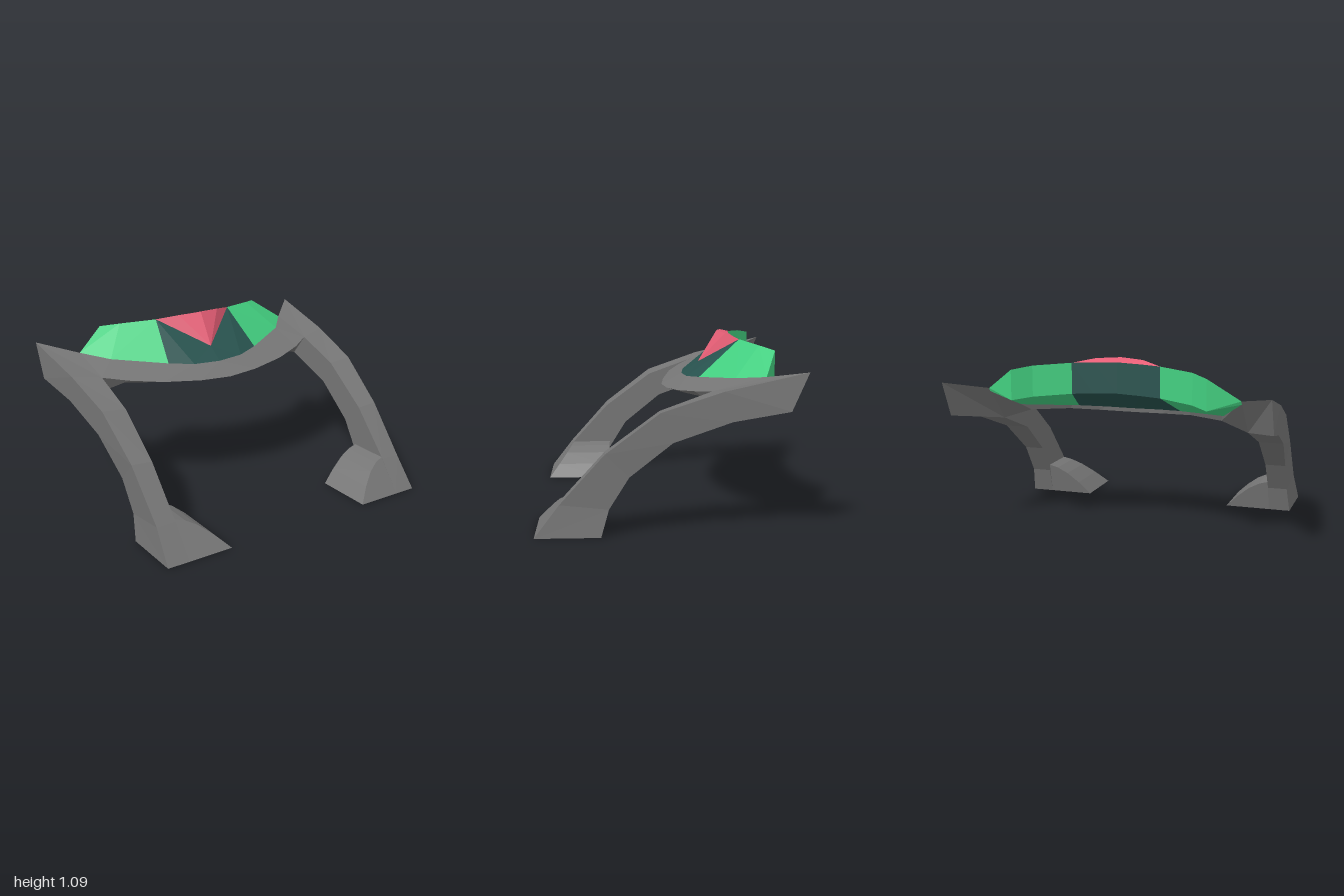
import * as THREE from 'three';

const paint = (name, color) =>
  new THREE.MeshStandardMaterial({ name, color, flatShading: true, side: THREE.DoubleSide });

// Splits a polygon into a fan of triangles
const fan = (...p) => p.slice(2).flatMap((_, i) => [p[0], p[i + 1], p[i + 2]]);

// Joins successive cross-sections with quads
function loft(sections, closed = false) {
  const out = [];
  const n = sections[0].length;
  for (let i = 0; i < sections.length - 1; i++) {
    for (let j = 0; j < (closed ? n : n - 1); j++) {
      const k = (j + 1) % n;
      out.push(...fan(sections[i][k], sections[i][j], sections[i + 1][j], sections[i + 1][k]));
    }
  }
  return out;
}

const mirror = (pts) => pts.map(([x, y, z]) => [-x, y, z]).reverse();

function facets(name, material, pts) {
  const geometry = new THREE.BufferGeometry();
  geometry.setAttribute('position', new THREE.Float32BufferAttribute(pts.flat(), 3));
  geometry.computeVertexNormals();
  const mesh = new THREE.Mesh(geometry, material);
  mesh.name = name;
  return mesh;
}

export function createModel() {
  const group = new THREE.Group();
  const grey = paint('frame grey', 0x757575);
  const green = paint('panel green', 0x43cf80);
  const teal = paint('dark teal', 0x28524e);
  const red = paint('rose red', 0xe85f77);
  const both = (name, material, pts) =>
    group.add(facets(name, material, [...pts, ...mirror(pts)]));

  // Curved legs: outer front, inner front, inner back, outer back
  const legs = [
    [[0.93, 0, 0.765], [0.79, 0, 0.765], [0.79, 0, 0.385], [0.93, 0, 0.385]],
    [[0.915, 0.19, 0.62], [0.79, 0.19, 0.615], [0.79, 0.16, 0.34], [0.915, 0.16, 0.34]],
    [[0.925, 0.48, 0.36], [0.79, 0.47, 0.36], [0.79, 0.345, 0.225], [0.92, 0.345, 0.225]],
    [[0.945, 0.715, 0.05], [0.79, 0.7, 0.05], [0.79, 0.545, -0.02], [0.945, 0.545, -0.02]],
    [[0.97, 0.835, -0.3], [0.79, 0.81, -0.25], [0.79, 0.67, -0.36], [0.97, 0.665, -0.35]],
    [[1, 0.943, -0.765], [0.79, 0.89, -0.56], [0.79, 0.67, -0.36], [1, 0.725, -0.67]],
  ];
  const tail = legs[5];
  both('leg', grey, [...loft(legs, true), ...fan(tail[0], tail[3], tail[2], tail[1])]);

  // Flared inner side of each foot
  const footCurve = [[0.5, 0], [0.58, 0.08], [0.66, 0.145], [0.73, 0.183], [0.79, 0.2]];
  both('foot', grey, loft(footCurve.map(([x, y]) => [
    [x, 0, 0.765], [x, y, 0.765 - 0.8 * y], [x, y, 0.385 - 0.22 * y], [x, 0, 0.385],
  ])));

  // Hollowed sole
  const sole = [[0.93, 0, 0.765], [0.5, 0, 0.765], [0.5, 0, 0.385], [0.93, 0, 0.385]];
  const hollow = [0.82, 0.094, 0.505];
  both('sole', grey, sole.flatMap((p, i) => [p, hollow, sole[(i + 1) % 4]]).reverse());

  // Brow bar: front edge, top edge, bottom edge
  both('browBar', grey, loft([
    [[0, 0.74, 0], [0, 0.81, -0.13], [0, 0.707, -0.11]],
    [[0.21, 0.747, -0.022], [0.18, 0.815, -0.15], [0.2, 0.713, -0.135]],
    [[0.45, 0.767, -0.075], [0.335, 0.83, -0.215], [0.4, 0.725, -0.2]],
    [[0.65, 0.79, -0.16], [0.65, 0.865, -0.4], [0.62, 0.725, -0.32]],
    [[0.79, 0.81, -0.25], [0.79, 0.89, -0.56], [0.79, 0.67, -0.36]],
  ], true));

  // Crest sections: lower edge, top edge, rear lower edge, underside edge
  const crest = [
    [[0, 0.81, -0.13], [0, 1.065, -0.435], [0, 0.875, -0.435], [0, 0.735, -0.13]],
    [[0.18, 0.815, -0.15], [0.15, 1.06, -0.445], [0.15, 0.87, -0.445], [0.18, 0.74, -0.15]],
    [[0.335, 0.83, -0.215], [0.28, 1.055, -0.465], [0.28, 0.865, -0.465], [0.335, 0.75, -0.215]],
    [[0.65, 0.865, -0.4], [0.5, 1.04, -0.555], [0.5, 0.85, -0.555], [0.65, 0.77, -0.4]],
    [[0.79, 0.89, -0.56], [0.605, 1.02, -0.635], [0.605, 0.835, -0.635], [0.79, 0.87, -0.55]],
  ];
  const end = crest[4];
  both('sidePanel', green, [...loft(crest.slice(2)), ...fan(end[2], end[1], end[0], end[3])]);

  // Dark centre panel with a V-shaped upper edge
  const notch = [0, 0.885, -0.235];
  const [b0, b1, b2] = crest.map((s) => s[0]);
  const [t0, t1, t2] = crest.map((s) => s[1]);
  both('centrePanel', teal, [
    ...loft(crest.slice(0, 3).map((s) => s.slice(1))),
    t2, b1, b2, t2, notch, b1, notch, b0, b1,
  ]);

  // Raised wedge filling the V
  const r0 = [0, 1.087, -0.355];
  const r1 = [0.15, 1.08, -0.392];
  both('centreWedge', red, [
    notch, t2, r1, notch, r1, r0, t2, t1, r1, ...fan(r1, t1, t0, r0),
  ]);

  return group;
}
